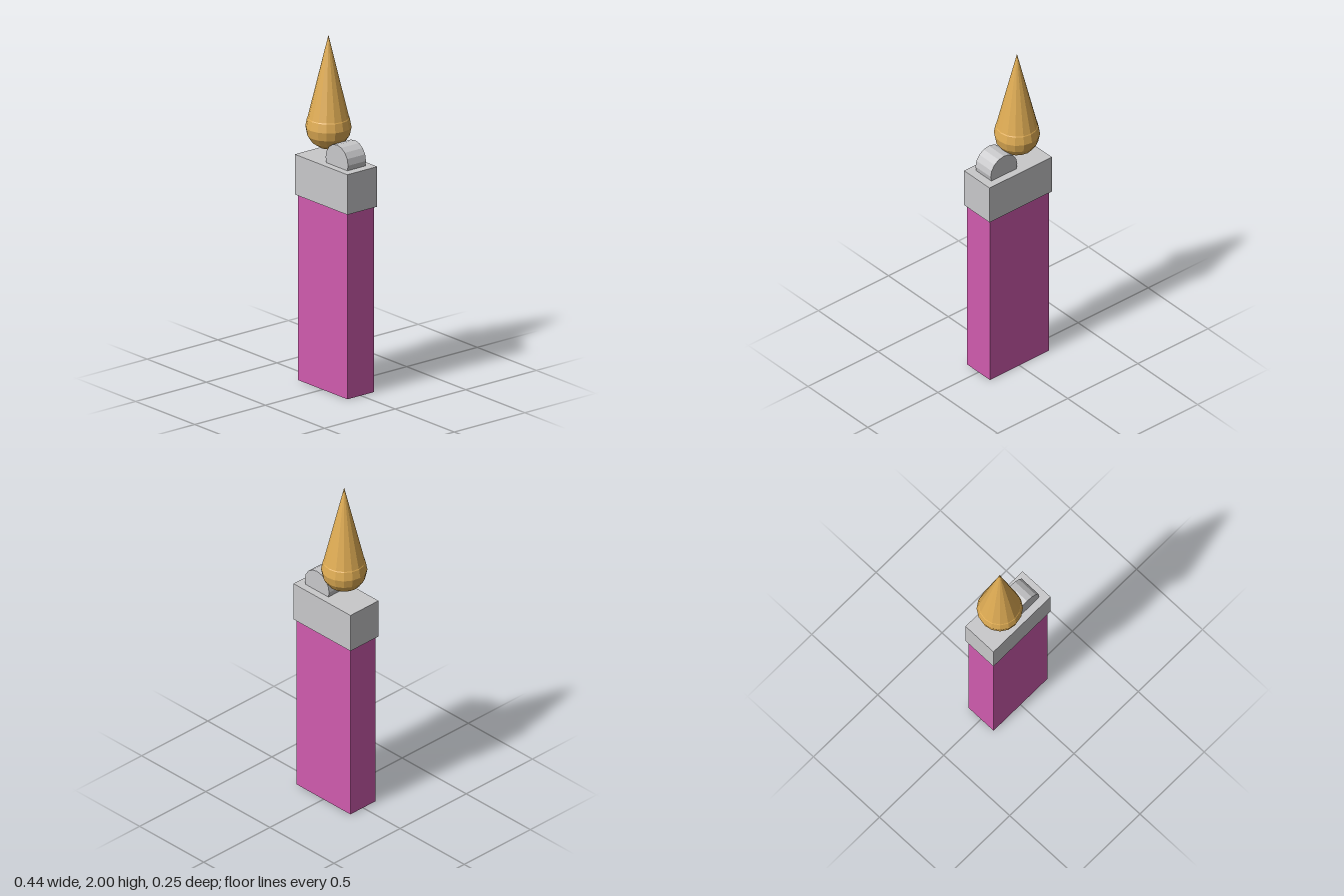
import * as THREE from 'three';

export function createModel() {
  const model = new THREE.Group();
  model.name = 'lighter';

  const material = (name, color) => {
    const m = new THREE.MeshStandardMaterial({ color, flatShading: true });
    m.name = name;
    return m;
  };
  const pink = material('pink plastic', 0xd05bae);
  const metal = material('light grey metal', 0xc8c8ca);
  const gold = material('golden flame', 0xdfac54);

  const add = (name, geometry, mat, x, y, parent = model) => {
    const mesh = new THREE.Mesh(geometry, mat);
    mesh.name = name;
    mesh.position.set(x, y, 0);
    parent.add(mesh);
    return mesh;
  };

  // Fuel body and the slightly wider metal cap
  add('body', new THREE.BoxGeometry(0.42, 1.065, 0.19), pink, 0, 0.5325);
  add('cap', new THREE.BoxGeometry(0.444, 0.23, 0.212), metal, 0, 1.18);

  // Spark wheel, sunk into the cap, axis along z
  const wheel = new THREE.CylinderGeometry(0.095, 0.095, 0.127, 16).rotateX(Math.PI / 2);
  add('sparkWheel', wheel, metal, 0.083, 1.325);

  // Flame: round base with a tall cone on its equator
  const flame = new THREE.Group();
  flame.name = 'flame';
  flame.position.set(-0.064, 1.475, 0);
  model.add(flame);
  add('flameBase', new THREE.SphereGeometry(0.126, 16, 8), gold, 0, 0, flame);
  add('flameTip', new THREE.ConeGeometry(0.126, 0.525, 16, 1, true), gold, 0, 0.2625, flame);

  return model;
}
